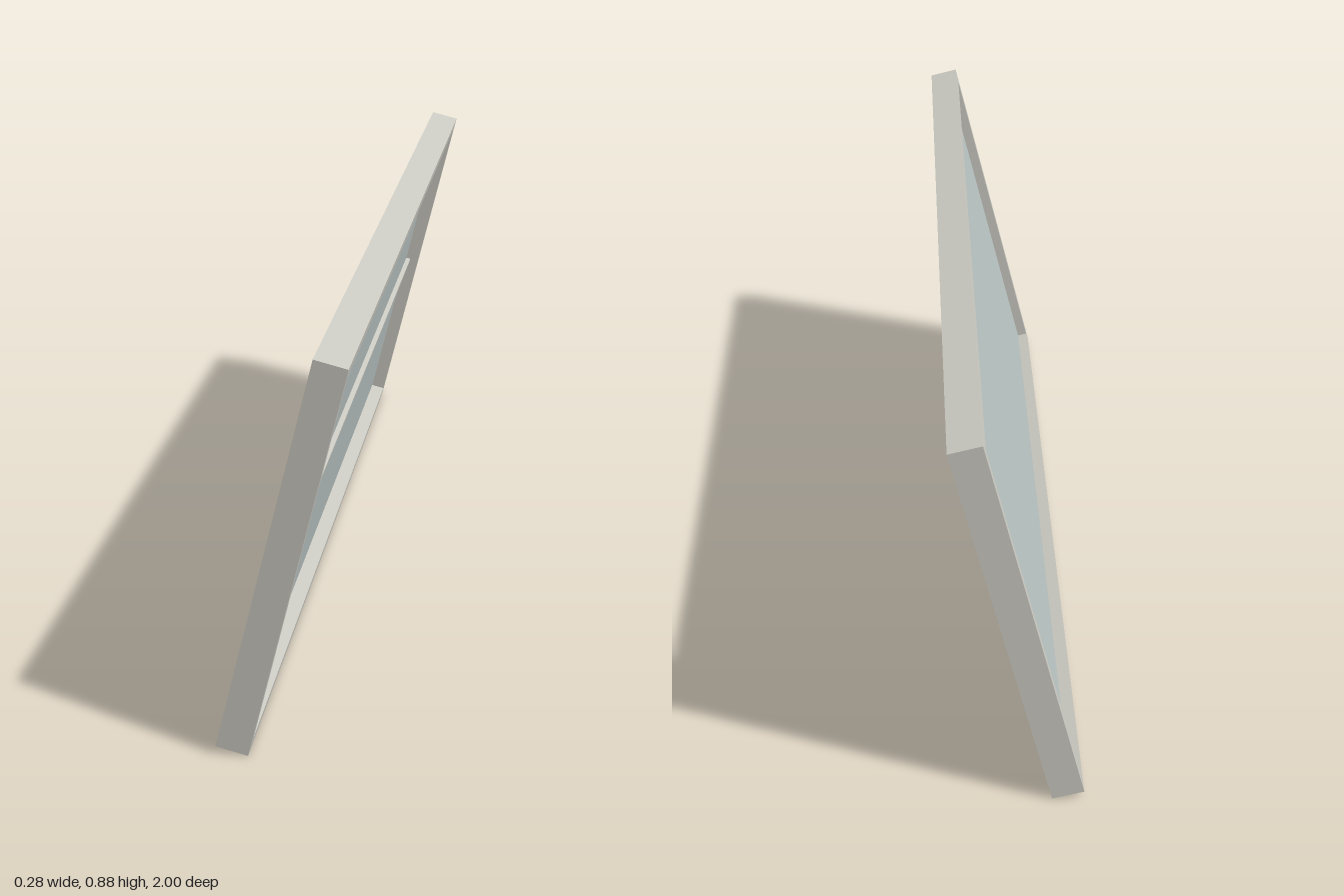
import * as THREE from 'three';

const LENGTH = 2, HEIGHT = 0.888, DEPTH = 0.07, RIM = 0.028;
const TILT = THREE.MathUtils.degToRad(13.7);

export function createModel() {
  const model = new THREE.Group();
  const panelAssembly = new THREE.Group();
  panelAssembly.name = 'tiltedPanel';
  model.add(panelAssembly);

  const frameMaterial = new THREE.MeshStandardMaterial({ color: 0xcccbc3 });
  const panelMaterial = new THREE.MeshStandardMaterial({ color: 0xbac6c4 });

  const add = (name, geometry, material, x = 0) => {
    const mesh = new THREE.Mesh(geometry, material);
    mesh.name = name;
    mesh.position.x = x;
    panelAssembly.add(mesh);
  };

  // Rectangular frame: outline with a hole, extruded through its thickness
  const rectangle = (path, w, h) => path
    .moveTo(-w / 2, -h / 2).lineTo(w / 2, -h / 2)
    .lineTo(w / 2, h / 2).lineTo(-w / 2, h / 2).closePath();
  const outline = rectangle(new THREE.Shape(), LENGTH, HEIGHT);
  outline.holes.push(rectangle(new THREE.Path(), LENGTH - 2 * RIM, HEIGHT - 2 * RIM));
  const frame = new THREE.ExtrudeGeometry(outline, { depth: DEPTH, bevelEnabled: false });
  frame.translate(0, 0, -DEPTH / 2).rotateY(Math.PI / 2);
  add('frame', frame, frameMaterial);

  // Thin sheet recessed on both sides
  const innerLength = LENGTH - 2 * RIM, innerHeight = HEIGHT - 2 * RIM;
  add('sheet', new THREE.BoxGeometry(0.01, innerHeight, innerLength), panelMaterial, -0.005);

  // Slim stiffening bar across the underside
  add('crossBar', new THREE.BoxGeometry(0.012, 0.014, innerLength), frameMaterial, 0.006);

  // Lean the panel and rest its lowest edge on the ground
  panelAssembly.rotation.z = -TILT;
  panelAssembly.position.y = (HEIGHT * Math.cos(TILT) + DEPTH * Math.sin(TILT)) / 2;
  return model;
}
